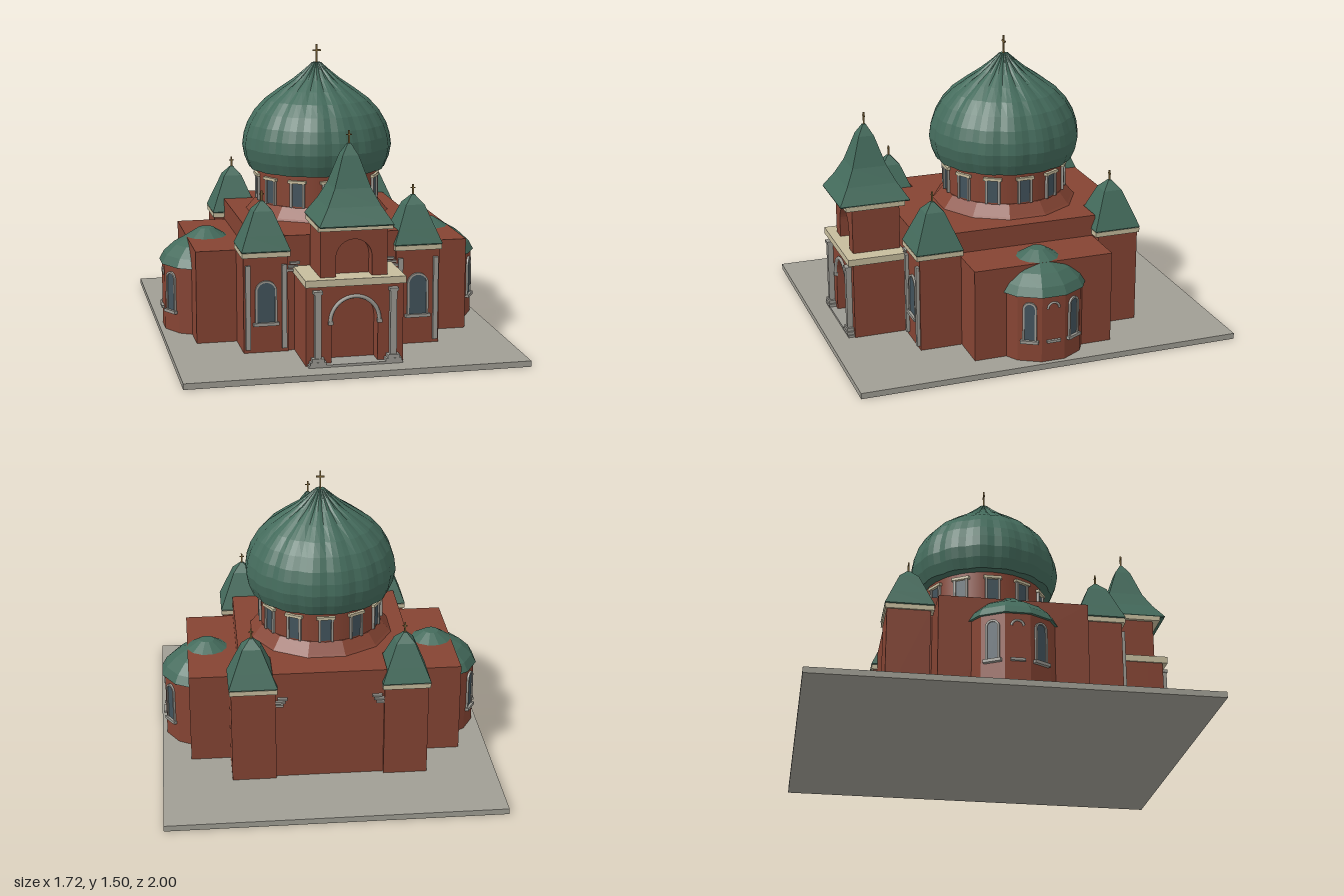
import * as THREE from 'three';

const mat = (name, color) => {
  const m = new THREE.MeshStandardMaterial({ color });
  m.name = name;
  return m;
};

export function createModel() {
  const brick = mat('brick', 0x854433);
  const green = mat('green roof', 0x446b5c);
  const paving = mat('paving', 0xa09e94);
  const trim = mat('grey trim', 0x9c9a93);
  const cream = mat('cream cornice', 0xc6bc9d);
  const glass = mat('window glass', 0x42535c);
  const gold = mat('gilding', 0x8a7040);

  const root = new THREE.Group();
  root.name = 'domedChurch';

  const add = (parent, name, geo, material) => {
    const mesh = new THREE.Mesh(geo, material);
    mesh.name = name;
    parent.add(mesh);
    return mesh;
  };
  // Box given by its limits on each axis
  const box = (parent, name, material, x0, x1, y0, y1, z0, z1) => {
    const mesh = add(parent, name, new THREE.BoxGeometry(x1 - x0, y1 - y0, z1 - z0), material);
    mesh.position.set((x0 + x1) / 2, (y0 + y1) / 2, (z0 + z1) / 2);
    return mesh;
  };
  const group = (name, x, y, z, parent = root) => {
    const g = new THREE.Group();
    g.name = name;
    g.position.set(x, y, z);
    parent.add(g);
    return g;
  };
  const flat = (geo) => {
    const g = geo.toNonIndexed();
    g.computeVertexNormals();
    return g;
  };
  const lathe = (points, sides, start = 0) =>
    new THREE.LatheGeometry(points.map(([r, y]) => new THREE.Vector2(r, y)), sides, start);
  // Four-sided roof from half widths and heights
  const squareRoof = (parent, points) => add(parent, 'hippedRoof',
    flat(lathe(points.map(([h, y]) => [h * Math.SQRT2, y]), 4, Math.PI / 4)), green);

  const cross = (parent, y, h) => {
    const g = group('cross', 0, y, 0, parent);
    const t = 0.004;
    box(g, 'crossPost', gold, -t, t, -0.01, h, -t, t);
    box(g, 'crossBar', gold, -h * 0.22, h * 0.22, h * 0.64, h * 0.72, -t, t);
    add(g, 'crossBall', new THREE.SphereGeometry(h * 0.08, 8, 6), gold);
  };

  // Round-headed outline standing on y = 0
  const archPath = (shape, w, spring, y0 = 0) => {
    shape.moveTo(-w, y0);
    shape.lineTo(w, y0);
    shape.lineTo(w, spring);
    shape.absarc(0, spring, w, 0, Math.PI, false);
    shape.lineTo(-w, y0);
    return shape;
  };
  const extrude = (shape, depth) =>
    new THREE.ExtrudeGeometry(shape, { depth, bevelEnabled: false, curveSegments: 10 });
  // Arched window facing +z
  const archWindow = (parent, w, h) => {
    const g = group('archedWindow', 0, 0, 0, parent);
    const frame = archPath(new THREE.Shape(), w, h - w);
    frame.holes.push(archPath(new THREE.Path(), w - 0.01, h - w, 0.005));
    add(g, 'windowFrame', extrude(frame, 0.012), trim);
    add(g, 'windowPane', extrude(archPath(new THREE.Shape(), w - 0.008, h - w), 0.006), glass);
    box(g, 'windowSill', trim, -w - 0.01, w + 0.01, -0.01, 0.006, 0, 0.02);
    return g;
  };
  // Wall block with an arched opening cut from its foot
  const archedWall = (parent, name, hw, y0, y1, ow, spring, z0, z1) => {
    const s = new THREE.Shape();
    s.moveTo(-hw, y0);
    s.lineTo(-ow, y0);
    s.lineTo(-ow, spring);
    s.absarc(0, spring, ow, Math.PI, 0, true);
    s.lineTo(ow, y0);
    s.lineTo(hw, y0);
    s.lineTo(hw, y1);
    s.lineTo(-hw, y1);
    s.closePath();
    add(parent, name, extrude(s, z1 - z0), brick).position.z = z0;
  };

  // Ground slab and cross-shaped body
  box(root, 'groundSlab', paving, -0.86, 0.86, 0, 0.03, -1, 1);
  box(root, 'nave', brick, -0.29, 0.29, 0.03, 0.62, -0.575, 0.575);
  box(root, 'centralBlock', brick, -0.45, 0.45, 0.03, 0.62, -0.38, 0.38);
  box(root, 'transept', brick, -0.71, 0.71, 0.03, 0.51, -0.365, 0.37);

  // Drum with a flared foot and twelve windows
  const drum = group('drum', 0, 0, -0.04);
  add(drum, 'drumFoot', flat(lathe([[0.39, 0.61], [0.37, 0.63], [0.325, 0.685], [0.3, 0.685]], 12, Math.PI / 12)), brick);
  add(drum, 'drumWall', lathe([[0.318, 0.66], [0.318, 0.87]], 36), brick);
  for (let i = 0; i < 12; i++) {
    const bay = group('drumWindow', 0, 0, 0, drum);
    bay.rotation.y = i * Math.PI / 6;
    box(bay, 'drumPane', glass, -0.028, 0.028, 0.69, 0.81, 0.31, 0.32);
    for (const s of [-1, 1]) box(bay, 'drumPost', trim, s * 0.033 - 0.006, s * 0.033 + 0.006, 0.685, 0.815, 0.305, 0.328);
    box(bay, 'drumLintel', cream, -0.048, 0.048, 0.812, 0.827, 0.305, 0.332);
  }

  // Large dome pinched into sixteen lobes, deeper toward the crown
  const domeGeo = lathe([[0.31, 0.85], [0.362, 0.855], [0.385, 0.91], [0.396, 0.97], [0.388, 1.03], [0.368, 1.09],
    [0.33, 1.155], [0.275, 1.215], [0.2, 1.27], [0.125, 1.32], [0.075, 1.36], [0.035, 1.395], [0.025, 1.405], [0, 1.405]], 64);
  const p = domeGeo.attributes.position;
  for (let i = 0; i < p.count; i++) {
    const x = p.getX(i), y = p.getY(i), z = p.getZ(i);
    const depth = 0.025 + 0.22 * Math.max(0, (y - 1.15) / 0.25) ** 2;
    const k = 1 - depth * (1 - Math.abs(Math.sin(8 * Math.atan2(x, z))));
    p.setXYZ(i, x * k, y, z * k);
  }
  add(drum, 'mainDome', flat(domeGeo), green);
  cross(drum, 1.4, 0.1);

  // Four corner towers
  for (const sx of [-1, 1]) for (const sz of [-1, 1]) {
    const t = group('cornerTower', sx * 0.39, 0, sz * 0.483);
    box(t, 'towerWall', brick, -0.113, 0.113, 0.03, 0.52, -0.113, 0.105);
    box(t, 'towerCornice', cream, -0.122, 0.122, 0.52, 0.545, -0.122, 0.122);
    squareRoof(t, [[0.12, 0.545], [0.124, 0.55], [0.094, 0.625], [0.048, 0.738], [0.028, 0.76], [0.008, 0.783], [0, 0.785]]);
    cross(t, 0.78, 0.055);
    if (sz > 0) {
      for (const s of [-1, 1]) box(t, 'towerPilaster', trim, s * 0.092 - 0.012, s * 0.092 + 0.012, 0.05, 0.48, 0.1, 0.122);
      archWindow(t, 0.055, 0.22).position.set(0, 0.18, 0.105);
    }
    // Stepped brackets where the tower meets the nave
    for (let i = 0; i < 3; i++) {
      const x = sx * (0.262 - i * 0.01), z = sz * 0.582;
      box(root, 'wallBracket', trim, x - 0.025, x + 0.025, 0.44 + i * 0.018, 0.451 + i * 0.018, z - 0.01, z + 0.01);
    }
  }

  // Side apses with half-sunk domes
  for (const s of [-1, 1]) {
    const a = group('apse', s * 0.605, 0, 0);
    a.rotation.y = s * Math.PI / 2;
    add(a, 'apseWall', flat(lathe([[0.237, 0.03], [0.237, 0.385]], 12, Math.PI / 12)), brick);
    add(a, 'apseDome', flat(lathe([[0.22, 0.378], [0.25, 0.38], [0.225, 0.425], [0.17, 0.475], [0.108, 0.51],
      [0.04, 0.552], [0, 0.553]], 12, Math.PI / 12)), green);
    for (const i of [-1, 1]) {
      const bay = group('apseWindowBay', 0, 0, 0, a);
      bay.rotation.y = i * Math.PI / 6;
      archWindow(bay, 0.036, 0.21).position.set(0, 0.14, 0.228);
    }
    // Blind middle bay: hood and sill only
    const hood = add(a, 'blindArch', new THREE.TorusGeometry(0.03, 0.006, 6, 12, Math.PI), trim);
    hood.position.set(0, 0.315, 0.23);
    box(a, 'blindSill', trim, -0.036, 0.036, 0.133, 0.146, 0.225, 0.243);
  }

  // Entrance porch
  const porch = group('porch', 0, 0, 0);
  box(porch, 'porchBlock', brick, -0.243, 0.243, 0.03, 0.43, 0.55, 0.78);
  archedWall(porch, 'porchFront', 0.243, 0.03, 0.43, 0.115, 0.25, 0.78, 0.862);
  box(porch, 'porchStep', trim, -0.235, 0.235, 0.03, 0.042, 0.78, 0.895);
  box(porch, 'porchCornice', cream, -0.25, 0.25, 0.43, 0.465, 0.58, 0.887);
  const ring = add(porch, 'porchArch', new THREE.TorusGeometry(0.122, 0.01, 6, 20, Math.PI), trim);
  ring.position.set(0, 0.25, 0.865);
  for (const s of [-1, 1]) {
    const c = group('porchColumn', s * 0.188, 0, 0.877, porch);
    box(c, 'columnPlinth', trim, -0.04, 0.04, 0.042, 0.058, -0.02, 0.022);
    box(c, 'columnBase', trim, -0.03, 0.03, 0.058, 0.075, -0.018, 0.02);
    box(c, 'columnShaft', trim, -0.016, 0.016, 0.07, 0.4, -0.016, 0.014);
    box(c, 'columnCapital', trim, -0.022, 0.022, 0.395, 0.41, -0.018, 0.018);
    box(porch, 'archImpost', trim, s * 0.122 - 0.012, s * 0.122 + 0.012, 0.235, 0.252, 0.855, 0.875);
  }

  // Belfry over the porch
  box(porch, 'belfryBlock', brick, -0.167, 0.167, 0.465, 0.7, 0.59, 0.77);
  archedWall(porch, 'belfryFront', 0.167, 0.465, 0.7, 0.09, 0.56, 0.77, 0.84);
  const spire = group('belfryRoof', 0, 0, 0.72, porch);
  box(spire, 'belfryCornice', cream, -0.185, 0.185, 0.7, 0.724, -0.155, 0.155);
  squareRoof(spire, [[0, 0.722], [0.182, 0.722], [0.184, 0.728], [0.132, 0.81], [0.09, 0.893], [0.04, 1.045], [0.008, 1.1], [0, 1.102]]);
  cross(spire, 1.1, 0.062);

  return root;
}
